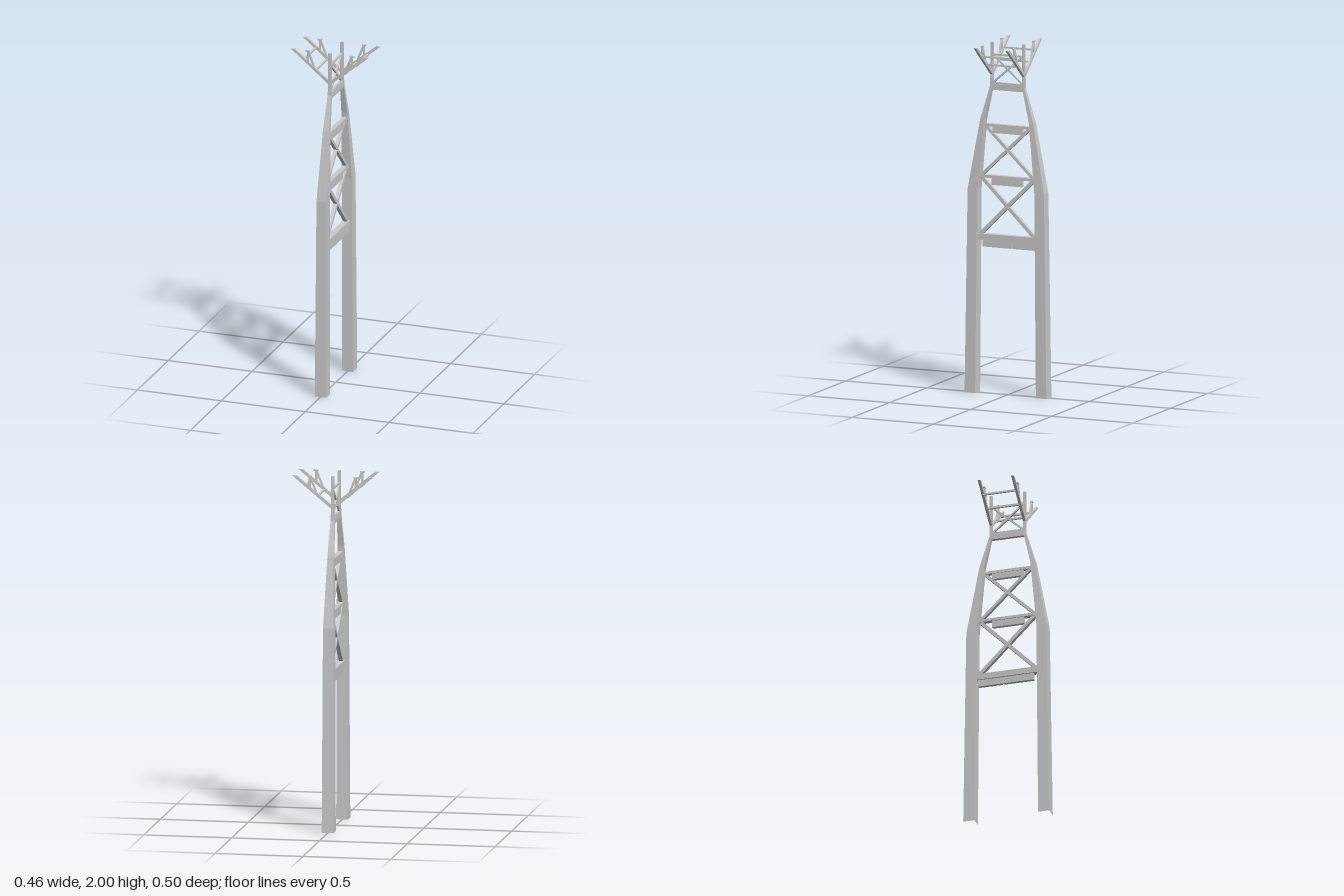
import * as THREE from 'three';

const steel = new THREE.MeshStandardMaterial({ color: 0xcccccc, flatShading: true });
steel.name = 'light grey steel';

function add(group, name, geometry) {
  const mesh = new THREE.Mesh(geometry, steel);
  mesh.name = name;
  group.add(mesh);
  return mesh;
}

// Axis-aligned bar given by its size and centre
function bar(group, name, size, centre) {
  add(group, name, new THREE.BoxGeometry(...size)).position.set(...centre);
}

// Straight bar in the side plane (x = 0) from [z, y] to [z, y]
function brace(group, name, [z0, y0], [z1, y1], width, depth) {
  const length = Math.hypot(z1 - z0, y1 - y0);
  const mesh = add(group, name, new THREE.BoxGeometry(depth, width, length));
  mesh.position.set(0, (y0 + y1) / 2, (z0 + z1) / 2);
  mesh.rotation.x = -Math.atan2(y1 - y0, z1 - z0);
}

// Hollow tapering leg lofted through rectangular sections [y, outer z, inner z, half width]
function legGeometry(side) {
  const sections = [
    [0, 0.252, 0.187, 0.034],
    [1.16, 0.235, 0.176, 0.03],
    [1.56, 0.163, 0.136, 0.018],
    [1.75, 0.106, 0.092, 0.011],
    [1.81, 0.105, 0.09, 0.009],
    [2, 0.105, 0.09, 0.008],
  ];
  const rings = sections.map(([y, out, inn, w]) =>
    [[-w, y, out], [w, y, out], [w, y, inn], [-w, y, inn]].map(([x, h, z]) => [x, h, z * side]));
  const points = [];
  const quad = (a, b, c, d) => {
    const order = side > 0 ? [a, b, c, a, c, d] : [a, c, b, a, d, c];
    order.forEach((p) => points.push(...p));
  };
  for (let i = 0; i < rings.length - 1; i++) {
    for (let k = 0; k < 4; k++) {
      const n = (k + 1) % 4;
      quad(rings[i][k], rings[i][n], rings[i + 1][n], rings[i + 1][k]);
    }
  }
  quad(...rings[rings.length - 1]);
  const geometry = new THREE.BufferGeometry();
  geometry.setAttribute('position', new THREE.Float32BufferAttribute(points, 3));
  geometry.computeVertexNormals();
  return geometry;
}

// Flat profile in x, y extruded to the thickness of a crown frame
function plate(points, side, z, thickness) {
  const shape = new THREE.Shape(points.map(([x, y]) => new THREE.Vector2(x * side, y)));
  const geometry = new THREE.ExtrudeGeometry(shape, { depth: thickness, bevelEnabled: false });
  return geometry.translate(0, 0, z - thickness / 2);
}

export function createModel() {
  const model = new THREE.Group();
  model.name = 'pylon';

  // Two tapering legs
  add(model, 'frontLeg', legGeometry(1));
  add(model, 'backLeg', legGeometry(-1));

  // Cross beams with hanging plates below
  const beams = new THREE.Group();
  beams.name = 'crossBeams';
  model.add(beams);
  bar(beams, 'lowerBeam', [0.036, 0.035, 0.37], [0, 0.89, 0]);
  bar(beams, 'middleBeam', [0.03, 0.016, 0.345], [0, 1.235, 0]);
  bar(beams, 'upperBeam', [0.026, 0.016, 0.28], [0, 1.527, 0]);
  bar(beams, 'topBeam', [0.02, 0.035, 0.19], [0, 1.747, 0]);
  bar(beams, 'topBeamCap', [0.014, 0.01, 0.19], [0, 1.768, 0]);
  bar(beams, 'lowerPlateFront', [0.02, 0.04, 0.178], [0, 0.853, 0.064]);
  bar(beams, 'lowerPlateBack', [0.02, 0.04, 0.142], [0, 0.853, -0.102]);
  bar(beams, 'middlePlate', [0.02, 0.04, 0.185], [0, 1.208, 0.003]);
  bar(beams, 'upperPlate', [0.02, 0.036, 0.182], [0, 1.502, 0]);

  // Crossed braces in each bay: bottom, top, half spans, bar width, depth
  const bays = [
    [0.9, 1.235, 0.172, 0.165, 0.02, 0.022],
    [1.235, 1.525, 0.165, 0.137, 0.017, 0.02],
    [1.77, 1.93, 0.092, 0.092, 0.01, 0.01],
  ];
  for (const [y0, y1, z0, z1, width, depth] of bays) {
    for (const s of [1, -1]) {
      brace(model, 'diagonalBrace', [z0 * s, y0], [-z1 * s, y1], width, depth);
    }
  }
  bar(model, 'crownBeam', [0.012, 0.01, 0.19], [0, 1.93, 0]);

  // Spreading crown: arms with small struts on both frames
  const crown = new THREE.Group();
  crown.name = 'crown';
  model.add(crown);
  for (const side of [1, -1]) {
    for (const z of [0.098, -0.098]) {
      add(crown, 'arm', plate(
        [[0, 1.81], [0.23, 2], [0.206, 2], [0, 1.833]], side, z, 0.015));
      add(crown, 'verticalStrut', plate(
        [[0.126, 1.92], [0.136, 1.925], [0.136, 2], [0.126, 2]], side, z, 0.01));
      add(crown, 'diagonalStrut', plate(
        [[0.084, 1.895], [0.094, 1.895], [0.137, 2], [0.125, 2]], side, z, 0.01));
      bar(crown, 'strutCap', [0.024, 0.008, 0.013], [0.132 * side, 1.996, z]);
    }
    // Rails joining the two frames
    for (const [x, y] of [[0.087, 1.886], [0.156, 1.943]]) {
      bar(crown, 'rail', [0.01, 0.01, 0.19], [x * side, y, 0]);
    }
  }
  return model;
}
